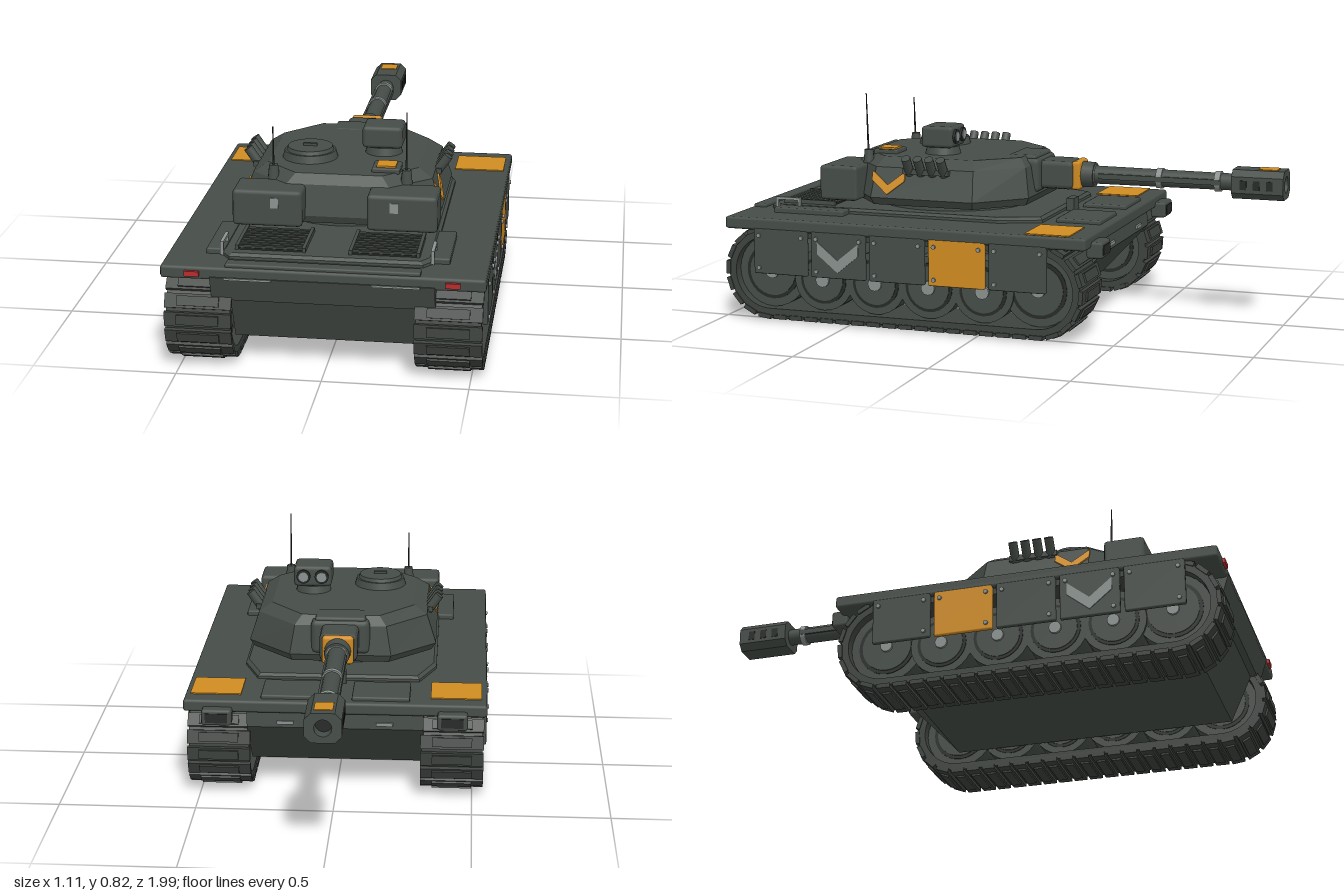
import * as THREE from 'three';
import { RoundedBoxGeometry } from 'three/addons/geometries/RoundedBoxGeometry.js';

const paint = (name, hex) => {
  const m = new THREE.MeshStandardMaterial({ color: hex });
  m.name = name;
  return m;
};

export function createModel() {
  const tank = new THREE.Group();
  tank.name = 'tank';
  const body = paint('hull grey green', 0x464d48);
  const track = paint('track grey', 0x3e433f);
  const dark = paint('dark recess', 0x272b28);
  const orange = paint('orange', 0xd08c22);
  const steel = paint('light steel', 0x8b9290);
  const red = paint('red lamp', 0xb82c2c);

  // ---- helpers ----
  const add = (name, geo, mat, x = 0, y = 0, z = 0) => {
    const m = new THREE.Mesh(geo, mat);
    m.name = name;
    m.position.set(x, y, z);
    tank.add(m);
    return m;
  };
  const box = (name, mat, w, h, d, x, y, z) => add(name, new THREE.BoxGeometry(w, h, d), mat, x, y, z);
  const soft = (name, mat, w, h, d, x, y, z, r = 0.01) =>
    add(name, new RoundedBoxGeometry(w, h, d, 1, r), mat, x, y, z);
  const cyl = (name, mat, r1, r2, h, x, y, z, n = 20) =>
    add(name, new THREE.CylinderGeometry(r1, r2, h, n), mat, x, y, z);
  const cylZ = (...a) => { const m = cyl(...a); m.rotation.x = -Math.PI / 2; return m; };
  const cylX = (...a) => { const m = cyl(...a); m.rotation.z = Math.PI / 2; return m; };
  const shapeOf = pts => new THREE.Shape(pts.map(p => new THREE.Vector2(p[0], p[1])));
  // extrude a (z, y) profile across x, centred
  const across = (shape, width) => new THREE.ExtrudeGeometry(shape, { depth: width, bevelEnabled: false, curveSegments: 14 })
    .translate(0, 0, -width / 2).rotateY(-Math.PI / 2);
  // flat-shaded solid through scaled copies of an outline; levels are [y, scaleX, scaleZ]
  const loft = (outline, zc, levels) => {
    const v = [], n = outline.length;
    const rings = levels.map(([y, sx, sz]) => outline.map(([x, z]) => [x * sx, y, zc + (z - zc) * sz]));
    for (let k = 0; k + 1 < rings.length; k++) {
      for (let i = 0; i < n; i++) {
        const j = (i + 1) % n, a = rings[k], b = rings[k + 1];
        v.push(...a[i], ...a[j], ...b[j], ...a[i], ...b[j], ...b[i]);
      }
    }
    const lo = rings[0], hi = rings[rings.length - 1];
    for (let i = 1; i + 1 < n; i++) v.push(...hi[0], ...hi[i], ...hi[i + 1], ...lo[0], ...lo[i + 1], ...lo[i]);
    const g = new THREE.BufferGeometry();
    g.setAttribute('position', new THREE.Float32BufferAttribute(v, 3));
    g.computeVertexNormals();
    return g;
  };

  // ---- hull ----
  add('hull', across(shapeOf([[0.85, 0.09], [0.93, 0.26], [0.965, 0.35], [-0.39, 0.35], [-0.395, 0.28], [-0.22, 0.09]]), 0.64), body);
  soft('deckPlate', body, 1.1, 0.045, 1.39, 0, 0.3605, 0.285);
  add('rearPlate', across(shapeOf([[0.9, 0.26], [0.955, 0.26], [0.985, 0.35], [0.9, 0.35]]), 0.76), body);
  soft('rearLedge', body, 0.66, 0.02, 0.05, 0, 0.385, 0.945, 0.006);
  const deck = [[0.33, 0.89], [0.36, 0.85], [0.36, -0.02], [0.3, -0.17], [-0.3, -0.17], [-0.36, -0.02], [-0.36, 0.85], [-0.33, 0.89]];
  add('raisedDeck', loft(deck, 0.36, [[0.38, 1, 1], [0.393, 1, 1], [0.403, 0.97, 0.98]]), body);
  box('travelLock', body, 0.06, 0.05, 0.03, 0, 0.405, -0.19);

  // ---- running gear, skirts and deck fittings on both sides ----
  const zr = 0.81, zf = -0.225, yc = 0.18;
  const stadium = (Cls, r) => {
    const s = new Cls();
    s.moveTo(zf, yc - r);
    s.lineTo(zr, yc - r);
    s.absarc(zr, yc, r, -Math.PI / 2, Math.PI / 2, false);
    s.lineTo(zf, yc + r);
    s.absarc(zf, yc, r, Math.PI / 2, Math.PI * 1.5, false);
    return s;
  };
  const beltShape = stadium(THREE.Shape, 0.162);
  beltShape.holes.push(stadium(THREE.Path, 0.135));
  const chevron = s => across(shapeOf([[-0.08, 0.055], [-0.08, 0.01], [0, -0.055], [0.08, 0.01], [0.08, 0.055], [0, -0.01]]
    .map(p => [p[0] * s, p[1] * s])), 0.006);

  for (const s of [-1, 1]) {
    add('trackBelt', across(beltShape, 0.22), track, s * 0.425);
    // track pads spaced evenly round the loop
    const r = 0.165, run = zr - zf, arc = Math.PI * r, total = 2 * (run + arc), count = 50;
    for (let i = 0; i < count; i++) {
      let d = (i / count) * total, z, y, a;
      if (d < run) { z = zf + d; y = yc - r; a = -Math.PI / 2; }
      else if (d < run + arc) { a = (d - run) / r - Math.PI / 2; z = zr + r * Math.cos(a); y = yc + r * Math.sin(a); }
      else if (d < 2 * run + arc) { z = zr - (d - run - arc); y = yc + r; a = Math.PI / 2; }
      else { a = (d - 2 * run - arc) / r + Math.PI / 2; z = zf + r * Math.cos(a); y = yc + r * Math.sin(a); }
      const pad = box('trackPad', track, 0.23, 0.016, 0.05, s * 0.425, y, z);
      pad.rotation.x = Math.PI / 2 - a;
      pad.rotation.x *= -1;
      pad.rotation.x = a - Math.PI / 2 === 0 ? 0 : Math.PI / 2 - a;
      const grip = new THREE.Mesh(new THREE.BoxGeometry(0.145, 0.008, 0.034), track);
      grip.name = 'padGrip';
      grip.position.y = 0.011;
      pad.add(grip);
    }
    // wheels
    for (let i = 0; i < 6; i++) {
      const end = i === 0 || i === 5, z = zr - i * 0.207, R = end ? 0.134 : 0.115;
      const y = end ? yc : 0.162, w = end ? 0.15 : 0.17;
      cylX('wheel', body, R, R, w, s * 0.425, y, z, 28);
      cylX('wheelDish', dark, R * 0.78, R * 0.78, w + 0.006, s * 0.425, y, z, 28);
      cylX('wheelDisc', body, R * 0.68, R * 0.68, w + 0.012, s * 0.425, y, z, 28);
      cylX('wheelHub', steel, 0.022, 0.026, w + 0.03, s * 0.425, y, z, 12);
    }
    // skirt panels
    for (let i = 0; i < 5; i++) {
      const z = 0.757 - i * 0.229;
      soft('skirtPanel', i === 3 ? orange : body, 0.018, 0.17, 0.214, s * 0.541, 0.262, z, 0.005);
      for (const [dz, y] of [[-0.085, 0.32], [0.085, 0.32], [0.085, 0.2]])
        cylX('skirtBolt', steel, 0.008, 0.008, 0.01, s * 0.552, y, z + dz, 8);
    }
    add('skirtChevron', chevron(1), steel, s * 0.551, 0.255, 0.528);
    // fender marking, lamps and rear trim
    box('fenderMarking', orange, 0.185, 0.006, 0.165, s * 0.4375, 0.384, -0.262);
    soft('headlampHousing', body, 0.11, 0.06, 0.06, s * 0.425, 0.33, -0.42);
    box('headlampLens', dark, 0.08, 0.035, 0.006, s * 0.425, 0.33, -0.45);
    box('tailLamp', red, 0.05, 0.018, 0.02, s * 0.44, 0.361, 0.98);
    box('rearTrim', steel, 0.16, 0.007, 0.008, s * 0.25, 0.346, 0.983);
    box('noseHook', steel, 0.06, 0.012, 0.012, s * 0.18, 0.3, -0.396);
    // deck panels, side lockers, grab handles
    soft('frontHatch', body, 0.21, 0.02, 0.17, s * 0.165, 0.387, -0.295, 0.006);
    soft('sideLocker', body, 0.065, 0.025, 0.28, s * 0.385, 0.39, 0.705, 0.006);
    box('grabRail', steel, 0.012, 0.01, 0.1, s * 0.36, 0.428, 0.81);
    for (const z of [0.765, 0.855]) box('grabPost', steel, 0.012, 0.045, 0.01, s * 0.36, 0.408, z);
    // engine grilles
    box('grilleBed', dark, 0.23, 0.008, 0.2, s * 0.195, 0.405, 0.745);
    for (let i = 0; i < 9; i++) box('grilleSlat', body, 0.23, 0.012, 0.013, s * 0.195, 0.409, 0.655 + i * 0.0225);
    for (const x of [0.08, 0.31]) box('grilleSide', body, 0.012, 0.018, 0.21, s * x, 0.41, 0.745);
  }

  // ---- turret ----
  const oct = [[0.355, 0.48], [0.355, 0.08], [0.19, -0.08], [-0.19, -0.08], [-0.355, 0.08], [-0.355, 0.48], [-0.2, 0.61], [0.2, 0.61]];
  add('turretRing', new THREE.CylinderGeometry(0.3, 0.3, 0.04, 40), body, 0, 0.412, 0.27);
  add('turretShell', loft(oct, 0.27, [[0.422, 0.95, 0.96], [0.45, 1, 1], [0.56, 0.9, 0.95], [0.593, 0.76, 0.87]]), body);
  for (const s of [-1, 1]) {
    soft('stowageBox', body, 0.245, 0.13, 0.15, s * 0.235, 0.495, 0.61, 0.014);
    box('boxLatch', steel, 0.028, 0.036, 0.008, s * 0.208, 0.518, 0.685);
    const mark = add('turretChevron', chevron(0.8), orange, s * 0.341, 0.505, 0.415);
    mark.rotation.z = s * 0.312;
    // smoke launchers
    for (let i = 0; i < 4; i++) {
      const tube = cyl('smokeTube', body, 0.017, 0.017, 0.075, s * 0.342, 0.572, 0.2 + i * 0.045, 10);
      tube.rotation.z = -s * 0.6;
    }
    box('smokeBracket', body, 0.03, 0.02, 0.18, s * 0.325, 0.55, 0.268);
    // antennas
    const len = s > 0 ? 0.21 : 0.14;
    cyl('antennaBase', body, 0.016, 0.021, 0.05, s * 0.235, 0.585, 0.535, 12);
    cyl('antenna', dark, 0.002, 0.004, len, s * 0.235, 0.61 + len / 2, 0.54, 6).rotation.x = 0.03;
  }

  // ---- roof fittings ----
  cyl('cupola', body, 0.092, 0.1, 0.03, -0.13, 0.605, 0.37, 32);
  cyl('cupolaLid', body, 0.08, 0.085, 0.014, -0.13, 0.626, 0.37, 32);
  box('lidHandle', body, 0.05, 0.01, 0.012, -0.13, 0.637, 0.37);
  cyl('sightBase', body, 0.06, 0.068, 0.03, 0.125, 0.606, 0.28, 24);
  soft('sightHead', body, 0.145, 0.08, 0.125, 0.125, 0.66, 0.28, 0.014);
  for (const x of [0.09, 0.16]) {
    cylZ('sightRim', dark, 0.027, 0.027, 0.012, x, 0.662, 0.216, 16);
    cylZ('sightLens', steel, 0.019, 0.019, 0.016, x, 0.662, 0.215, 16);
  }
  soft('periscopeBase', body, 0.1, 0.02, 0.095, 0.16, 0.597, 0.48, 0.005);
  box('periscopeCap', orange, 0.068, 0.008, 0.068, 0.16, 0.609, 0.48);

  // ---- gun ----
  const gy = 0.52;
  soft('mantlet', body, 0.22, 0.13, 0.12, 0, gy, -0.03, 0.02);
  soft('gunCradle', body, 0.14, 0.105, 0.15, 0, gy, -0.135, 0.018);
  soft('mantletHood', body, 0.19, 0.03, 0.11, 0, 0.58, -0.02);
  soft('orangeCollar', orange, 0.116, 0.108, 0.035, 0, gy, -0.218, 0.012);
  cylZ('gunSleeve', body, 0.046, 0.05, 0.06, 0, gy, -0.25, 20);
  cylZ('gunBarrel', body, 0.031, 0.034, 0.56, 0, gy, -0.54, 20);
  for (const z of [-0.272, -0.53, -0.75]) cylZ('barrelBand', steel, 0.038, 0.038, 0.022, 0, gy, z, 20);
  for (const s of [-1, 1]) box('barrelRib', body, 0.012, 0.02, 0.46, s * 0.032, gy, -0.53);

  // muzzle brake: chamfered block with an open bore
  const brake = shapeOf([[0.063, 0.03], [0.04, 0.053], [-0.04, 0.053], [-0.063, 0.03], [-0.063, -0.03], [-0.04, -0.053], [0.04, -0.053], [0.063, -0.03]]);
  const bore = new THREE.Path();
  bore.absarc(0, 0, 0.03, 0, Math.PI * 2, true);
  brake.holes.push(bore);
  add('muzzleBrake', new THREE.ExtrudeGeometry(brake, { depth: 0.19, bevelEnabled: false }), body, 0, gy, -1);
  cylZ('boreFloor', dark, 0.031, 0.031, 0.01, 0, gy, -0.95, 20);
  box('brakeMarking', orange, 0.064, 0.006, 0.07, 0, gy + 0.053, -0.937);
  for (const s of [-1, 1])
    for (let i = 0; i < 3; i++) box('brakeSlot', dark, 0.006, 0.034, 0.024, s * 0.062, gy, -0.95 + i * 0.048);

  return tank;
}
